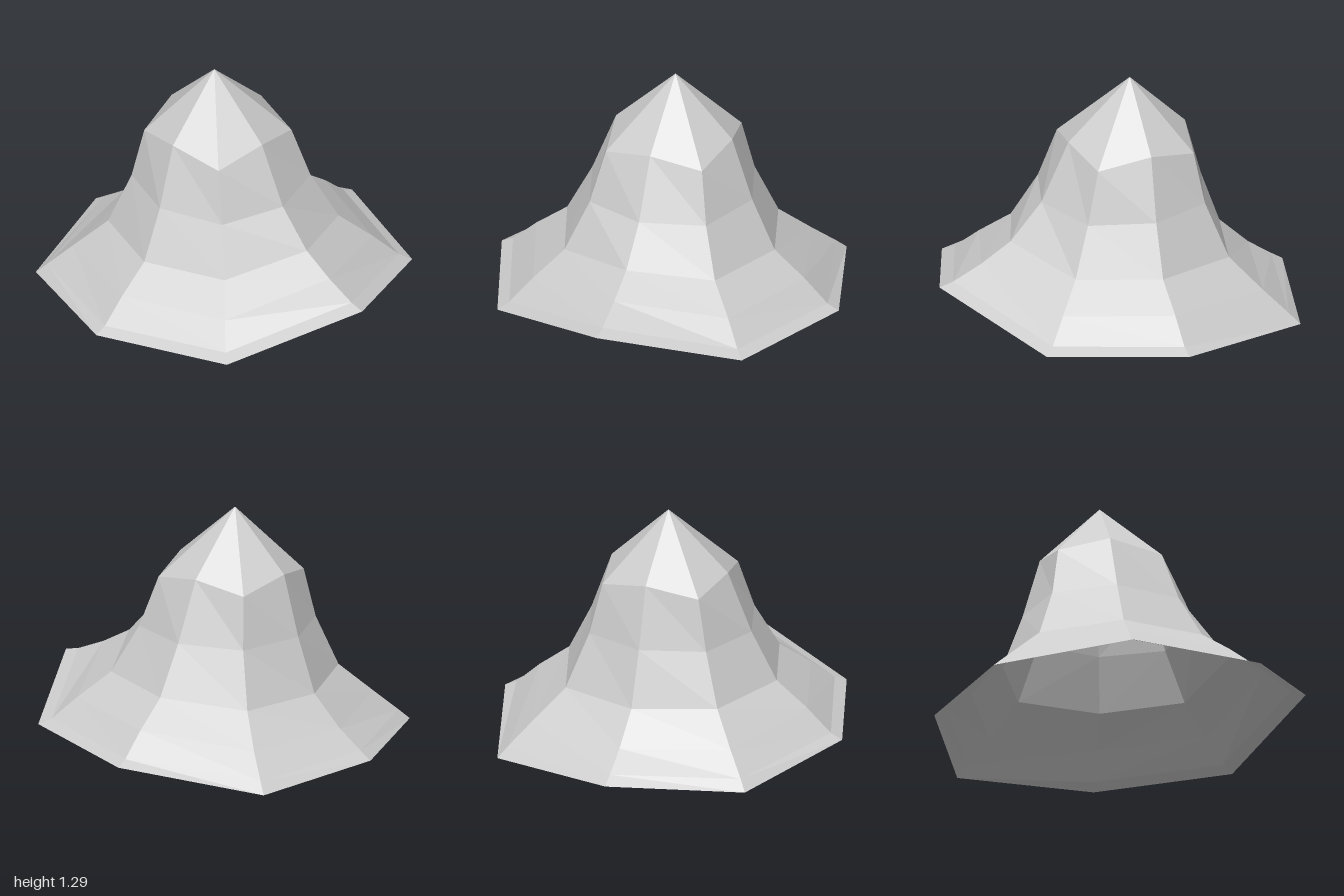
import * as THREE from 'three';

// Meridian profiles, crown shoulder down to rim, as [x, y, z]
const front = [[0, 0.975, 0.248], [0, 0.65, 0.405], [0, 0.45, 0.585], [0, 0.35, 0.755], [0, 0.275, 0.92], [0, 0.255, 1]];
const frontCorner = [[0.278, 0.915, 0.195], [0.337, 0.635, 0.28], [0.435, 0.38, 0.395], [0.565, 0.245, 0.525], [0.66, 0.13, 0.625], [0.707, 0.1, 0.68]];
const side = [[0.336, 0.972, -0.09], [0.462, 0.64, -0.065], [0.6, 0.37, -0.045], [0.775, 0.235, -0.04], [0.91, 0.11, -0.036], [0.975, 0.08, -0.036]];
const leftBack = [[0.278, 0.915, -0.363], [0.337, 0.635, -0.403], [0.435, 0.34, -0.5], [0.57, 0.178, -0.64], [0.665, 0.06, -0.75], [0.707, 0.003, -0.8]];
const rightBack = [[-0.278, 0.915, -0.363], [-0.337, 0.635, -0.4], [-0.435, 0.35, -0.48], [-0.567, 0.188, -0.615], [-0.665, 0.072, -0.71], [-0.707, 0.018, -0.755]];
const back = [[0, 0.975, -0.432], [0, 0.64, -0.525], [0, 0.34, -0.632], [0, 0.175, -0.8], [0, 0.078, -0.935], [0, 0.035, -1]];
const apex = [0, 1.295, -0.11];

const mirror = (line) => line.map(([x, y, z]) => [-x, y, z]);

function meshFrom(name, triangles, material) {
  const geometry = new THREE.BufferGeometry();
  geometry.setAttribute('position', new THREE.Float32BufferAttribute(triangles.flat(), 3));
  geometry.computeVertexNormals();
  const mesh = new THREE.Mesh(geometry, material);
  mesh.name = name;
  return mesh;
}

export function createModel() {
  const group = new THREE.Group();
  group.name = 'hat';
  const felt = new THREE.MeshStandardMaterial({ color: 0xcccccc, side: THREE.DoubleSide, flatShading: true });
  felt.name = 'pale grey';

  // Eight meridians around the hat, from the front towards its left
  const lines = [front, frontCorner, side, leftBack, back, rightBack, mirror(side), mirror(frontCorner)];
  const tip = [], crown = [], brim = [];
  lines.forEach((line, i) => {
    const next = lines[(i + 1) % lines.length];
    tip.push(...apex, ...line[0], ...next[0]);
    for (let r = 0; r < line.length - 1; r++) {
      const [a, b, c, d] = [line[r], line[r + 1], next[r + 1], next[r]];
      (r < 2 ? crown : brim).push(...a, ...b, ...c, ...a, ...c, ...d);
    }
  });

  // Pointed top, tapering crown and flared open brim
  group.add(meshFrom('tip', tip, felt), meshFrom('crown', crown, felt), meshFrom('brim', brim, felt));
  return group;
}
